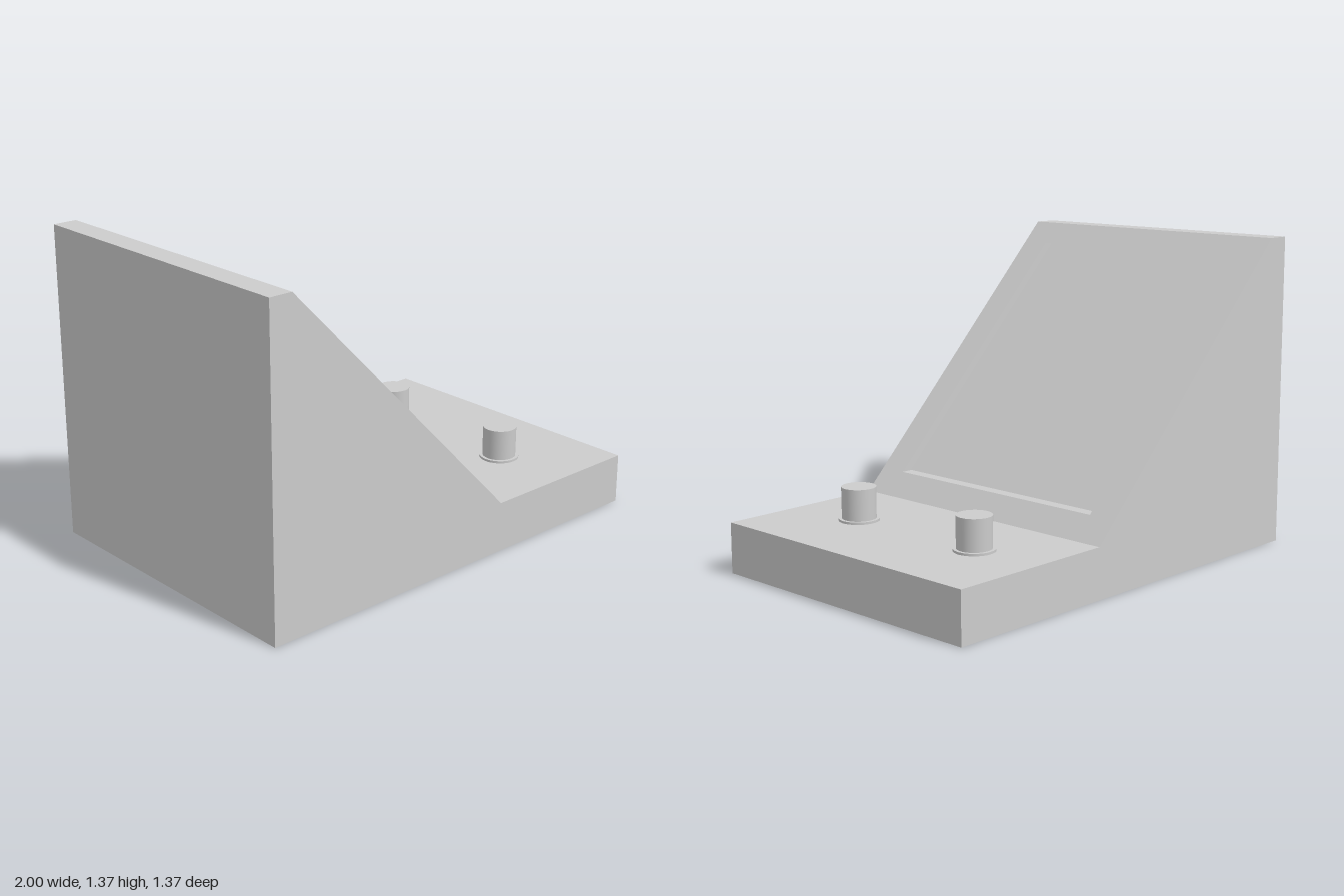
import * as THREE from 'three';

const HALF = 0.683;                 // half depth of the console
const TOP = 1.37, DECK = 0.22;      // heights of the back top and the front deck
const X_TOP = -0.895, X_DECK = 0.23; // where the slope starts and ends
const slopeX = (y) => X_TOP + (TOP - y) * (X_DECK - X_TOP) / (TOP - DECK);

export function createModel() {
  const group = new THREE.Group();
  const material = new THREE.MeshStandardMaterial({ color: 0xcccccc, side: THREE.DoubleSide });

  const add = (name, geometry, parent = group) => {
    const mesh = new THREE.Mesh(geometry, material);
    mesh.name = name;
    parent.add(mesh);
    return mesh;
  };

  // Flat strips joining two matching loops of points, one quad per side
  const strips = (a, b, count) => {
    const pos = [];
    for (let i = 0; i < count; i++) {
      const j = (i + 1) % a.length;
      for (const p of [a[i], a[j], b[j], a[i], b[j], b[i]]) pos.push(...p);
    }
    const g = new THREE.BufferGeometry();
    g.setAttribute('position', new THREE.Float32BufferAttribute(pos, 3));
    g.computeVertexNormals();
    return g;
  };

  // Rectangle in (-z, y), later laid onto the slope
  const rect = (Type, z, y0, y1) => new Type([[-z, y0], [z, y0], [z, y1], [-z, y1]]
    .map(([u, v]) => new THREE.Vector2(u, v)));
  const onSlope = (shape, inset) => {
    const g = new THREE.ShapeGeometry(shape);
    const p = g.attributes.position;
    for (let i = 0; i < p.count; i++) {
      p.setXYZ(i, slopeX(p.getY(i)) - inset, p.getY(i), -p.getX(i));
    }
    g.computeVertexNormals();
    return g;
  };

  // Wedge body: side outline starts at the slope foot and ends at the slope top
  const outline = [[X_DECK, DECK], [1, DECK], [1, 0], [-1, 0], [-1, TOP], [X_TOP, TOP]];
  const body = new THREE.Group();
  body.name = 'consoleBody';
  group.add(body);
  add('bodyShell', strips(
    outline.map(([x, y]) => [x, y, -HALF]),
    outline.map(([x, y]) => [x, y, HALF]), outline.length - 1), body);
  const side = new THREE.Shape(outline.map(([x, y]) => new THREE.Vector2(x, y)));
  add('frontSide', new THREE.ShapeGeometry(side).translate(0, 0, HALF), body);
  add('backSide', new THREE.ShapeGeometry(side).rotateY(Math.PI).scale(-1, 1, 1)
    .translate(0, 0, -HALF), body);
  const back = body.getObjectByName('backSide').geometry;
  back.index.array.reverse();       // face outwards after mirroring
  back.computeVertexNormals();

  // Sloped bezel with a screen recess sunk straight back along x
  const SZ = 0.555, Y0 = 0.312, Y1 = 1.28, INSET = 0.053;
  const bezel = rect(THREE.Shape, HALF, DECK, TOP);
  bezel.holes.push(rect(THREE.Path, SZ, Y0, Y1));
  add('screenBezel', onSlope(bezel, 0));
  add('screen', onSlope(rect(THREE.Shape, SZ, Y0, Y1), INSET));
  const rim = (inset) => [[Y0, SZ], [Y0, -SZ], [Y1, -SZ], [Y1, SZ]]
    .map(([y, z]) => [slopeX(y) - inset, y, z]);
  add('screenRecessWalls', strips(rim(0), rim(INSET), 4));

  // Two control knobs, each with a thin flange
  const flange = new THREE.CylinderGeometry(0.087, 0.087, 0.01, 40);
  const cap = new THREE.CylinderGeometry(0.074, 0.073, 0.138, 40);
  for (const [name, z] of [['frontKnob', 0.327], ['backKnob', -0.355]]) {
    const knob = new THREE.Group();
    knob.name = name;
    knob.position.set(0.6, DECK, z);
    add('knobFlange', flange, knob).position.y = 0.005;
    add('knobCap', cap, knob).position.y = 0.076;
    group.add(knob);
  }
  return group;
}
